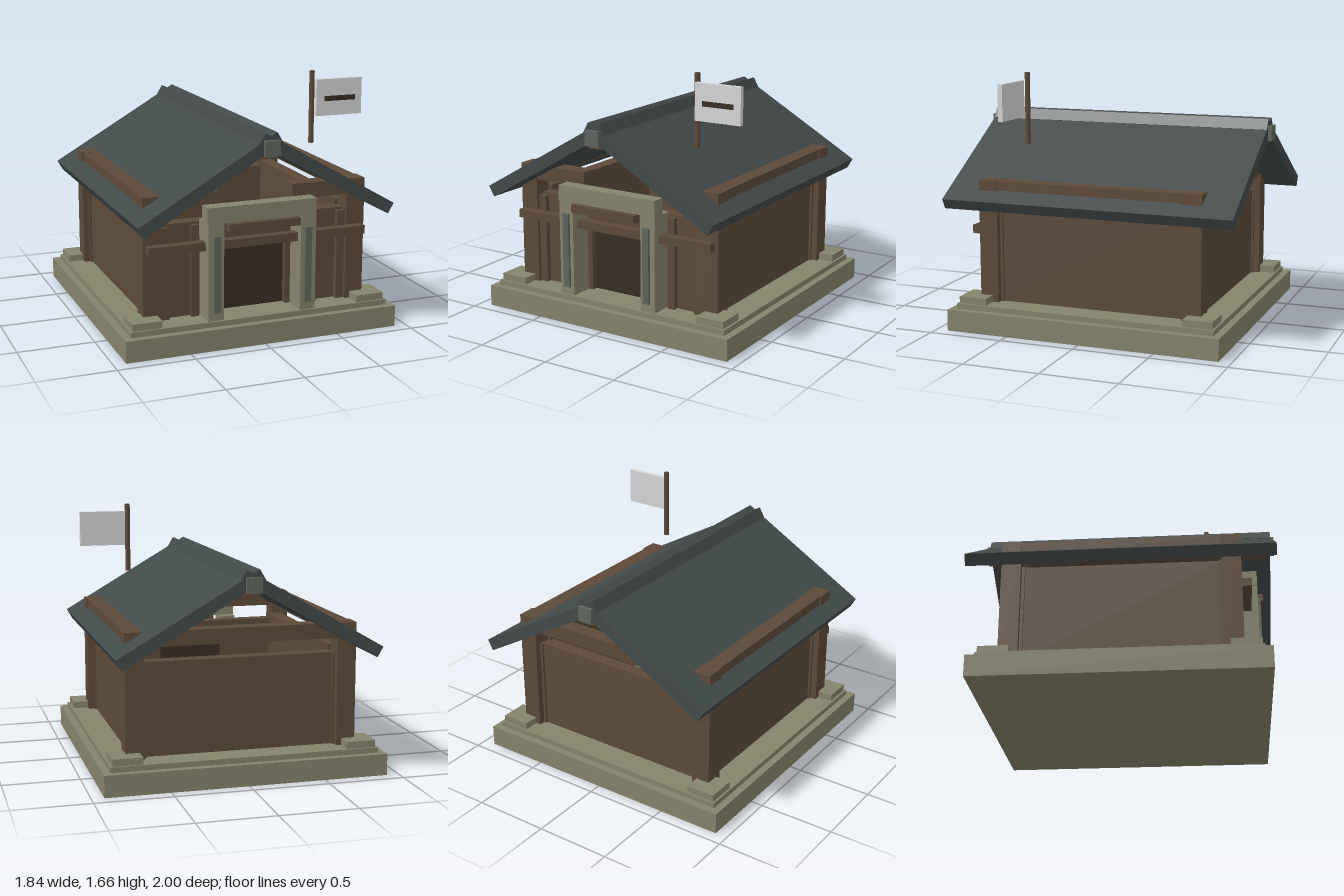
import * as THREE from 'three';

const material = (name, color) => {
  const m = new THREE.MeshStandardMaterial({ color });
  m.name = name;
  return m;
};

export function createModel() {
  const model = new THREE.Group();
  model.name = 'timberHall';
  const stone = material('sandstone', 0x85836b);
  const wood = material('brownTimber', 0x5c4a38);
  const dark = material('darkTimber', 0x382d22);
  const slate = material('slateRoof', 0x424949);
  const grey = material('greyStone', 0x5f665d);
  const cloth = material('paleCloth', 0xd6d6d6);

  // Box given by its limits on each axis
  const box = (name, mat, [x0, x1], [y0, y1], [z0, z1]) => {
    const mesh = new THREE.Mesh(new THREE.BoxGeometry(x1 - x0, y1 - y0, z1 - z0), mat);
    mesh.position.set((x0 + x1) / 2, (y0 + y1) / 2, (z0 + z1) / 2);
    mesh.name = name;
    model.add(mesh);
    return mesh;
  };
  // Limits mirrored to the side given by s
  const side = (s, a, b) => (s > 0 ? [a, b] : [-b, -a]);

  // Stepped plinth
  box('plinth', stone, [-0.92, 0.92], [0, 0.14], [-0.92, 0.92]);
  box('plinthStep', stone, [-0.873, 0.873], [0.14, 0.175], [-0.873, 0.873]);

  for (const sx of [1, -1]) {
    // Corner stones, posts and the battens beside them
    for (const sz of [1, -1]) {
      box('cornerStone', stone, side(sx, 0.665, 0.858), [0.175, 0.22], side(sz, 0.67, 0.86));
      box('cornerPost', wood, side(sx, 0.63, 0.755), [0.175, 0.98], side(sz, 0.63, 0.755));
      box('sideBatten', wood, side(sx, 0.605, 0.715), [0.175, 0.82], side(sz, 0.61, 0.632));
    }
    box('backBatten', wood, side(sx, 0.61, 0.632), [0.175, 0.78], [-0.715, -0.63]);

    // Side walls and wall plates
    box('sideWall', wood, side(sx, 0.605, 0.7), [0.175, 0.82], [-0.63, 0.63]);
    box('sideBeam', wood, side(sx, 0.64, 0.745), [0.88, 0.978], [-0.64, 0.64]);

    // Front wall halves with upright planks and split tie beam
    box('frontWall', wood, side(sx, 0.225, 0.63), [0.175, 0.785], [0.61, 0.7]);
    box('frontPlank', wood, side(sx, 0.38, 0.43), [0.175, 0.77], [0.7, 0.735]);
    box('frontPlank', wood, side(sx, 0.575, 0.629), [0.175, 0.77], [0.7, 0.735]);
    box('frontTieBeam', wood, side(sx, 0.25, 0.64), [0.88, 0.978], [0.64, 0.745]);

    // Stone portal legs with raised strips
    box('portalLeg', stone, side(sx, 0.26, 0.365), [0.175, 0.8], [0.7, 0.86]);
    box('portalStrip', grey, side(sx, 0.285, 0.33), [0.23, 0.725], [0.86, 0.878]);
  }

  // Back wall and tie beam
  box('backWall', wood, [-0.63, 0.63], [0.175, 0.78], [-0.7, -0.605]);
  box('backTieBeam', wood, [-0.64, 0.64], [0.88, 0.978], [-0.745, -0.64]);

  // Doorway
  box('portalLintel', stone, [-0.37, 0.365], [0.8, 0.905], [0.765, 0.86]);
  box('doorPanel', dark, [-0.225, 0.225], [0.175, 0.63], [0.62, 0.66]);
  box('doorHeader', wood, [-0.225, 0.225], [0.62, 0.785], [0.61, 0.7]);
  box('frontRail', wood, [-0.735, 0.735], [0.622, 0.677], [0.755, 0.815]);
  box('signBoard', wood, [-0.24, 0.24], [0.75, 0.8], [0.84, 0.9]);
  const brace = box('signBrace', wood, [-0.14, -0.1], [0.65, 0.78], [0.7, 0.73]);
  brace.rotation.z = 0.65;

  // Roof slabs that cross at the ridge
  const tilt = Math.PI / 6;
  for (const s of [1, -1]) {
    const slab = box('roofSlab', slate, [-0.514, 0.514], [-0.0385, 0.0385], [-0.975, 0.975]);
    slab.position.set(s * 0.386, 1.08, 0);
    slab.rotation.z = -s * tilt;
  }
  box('ridgeStone', grey, [-0.05, 0.05], [1.227, 1.325], [-1, 1]);
  box('ridgeBeam', wood, [-0.045, 0.045], [1.205, 1.26], [-0.96, 0.96]);

  // Banner on its pole
  const pole = new THREE.Mesh(new THREE.CylinderGeometry(0.018, 0.018, 0.47, 8), wood);
  pole.name = 'bannerPole';
  pole.position.set(0.472, 1.425, 0.533);
  model.add(pole);
  box('bannerCloth', cloth, [0.483, 0.805], [1.37, 1.608], [0.552, 0.583]);
  box('bannerStripe', dark, [0.54, 0.755], [1.466, 1.498], [0.583, 0.591]);

  return model;
}
